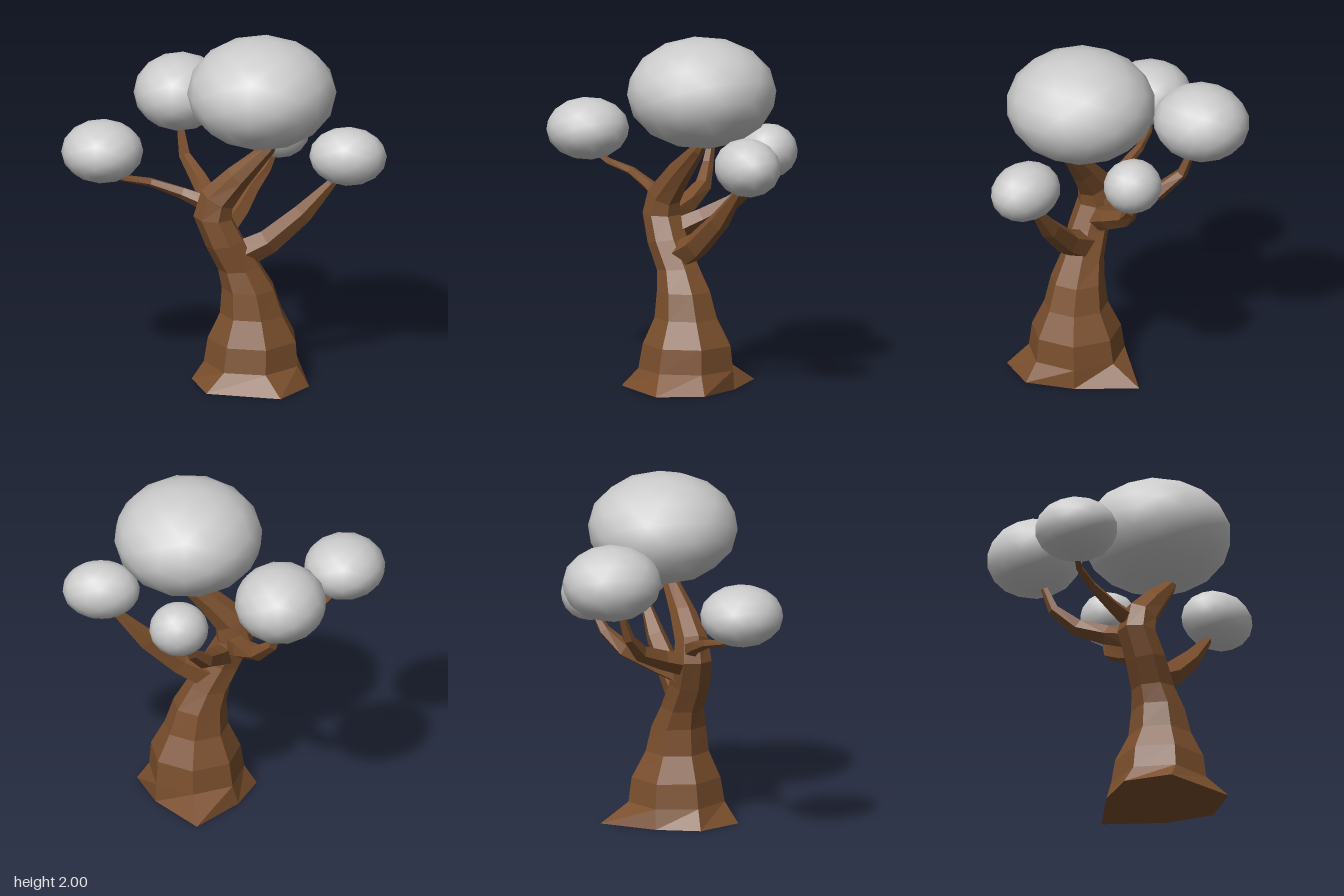
import * as THREE from 'three';

const bark = new THREE.MeshStandardMaterial({ color: 0x7b4f2d, flatShading: true });
const leaf = new THREE.MeshStandardMaterial({ color: 0xcccccc });
const UP = new THREE.Vector3(0, 1, 0);

// Skins a list of rings (arrays of Vector3, running from +x towards +z) and caps both ends
function skinRings(rings) {
  const n = rings[0].length;
  const points = rings.flat();
  const index = [];
  for (let i = 0; i < rings.length - 1; i++) {
    for (let j = 0; j < n; j++) {
      const a = i * n + j, b = i * n + (j + 1) % n;
      index.push(a, a + n, b, b, a + n, b + n);
    }
  }
  const top = (rings.length - 1) * n;
  for (let j = 1; j < n - 1; j++) {
    index.push(0, j, j + 1, top, top + j + 1, top + j);
  }
  const geometry = new THREE.BufferGeometry().setFromPoints(points);
  geometry.setIndex(index);
  geometry.computeVertexNormals();
  return geometry;
}

// One elliptical ring around a centre, facing along dir
function ring(center, rx, rz, dir, sides, phase) {
  const turn = new THREE.Quaternion().setFromUnitVectors(UP, dir);
  return Array.from({ length: sides }, (_, j) => {
    const a = phase + (j / sides) * Math.PI * 2;
    return new THREE.Vector3(rx * Math.cos(a), 0, rz * Math.sin(a)).applyQuaternion(turn).add(center);
  });
}

// Trunk: seven sides, flared root ring, bending into the main limb
function trunkGeometry() {
  const root = [[0.49, 0.26], [0.37, 0.51], [-0.06, 0.49], [-0.19, 0.24], [-0.1, 0], [0.12, -0.27], [0.37, 0]];
  // x, y, z, radius in x, radius in z, lean towards +x
  const sections = [
    [0.15, 0.11, 0.18, 0.277, 0.28, 0],
    [0.155, 0.25, 0.178, 0.26, 0.258, 0],
    [0.15, 0.4, 0.184, 0.185, 0.184, 0],
    [0.13, 0.55, 0.188, 0.154, 0.158, 0],
    [0.08, 0.67, 0.196, 0.125, 0.126, -0.1],
    [0, 0.82, 0.22, 0.112, 0.12, -0.2],
    [-0.07, 0.97, 0.22, 0.112, 0.112, 0.05],
    [-0.045, 1.08, 0.22, 0.105, 0.095, 0.5],
    [0.07, 1.21, 0.2, 0.078, 0.075, 0.75],
    [0.24, 1.38, 0.16, 0.04, 0.045, 0.7],
    [0.3, 1.47, 0.14, 0.02, 0.02, 0.6],
  ];
  const rings = sections.map(([x, y, z, rx, rz, lean]) =>
    ring(new THREE.Vector3(x, y, z), rx, rz,
      new THREE.Vector3(Math.sin(lean), Math.cos(lean), 0), 7, Math.PI / 14));
  return skinRings([root.map(([x, z]) => new THREE.Vector3(x, 0, z)), ...rings]);
}

// Branch: five-sided taper through points [x, y, z, radius]
function branchGeometry(path) {
  const p = path.map(([x, y, z]) => new THREE.Vector3(x, y, z));
  const rings = p.map((c, i) => {
    const dir = p[Math.min(i + 1, p.length - 1)].clone().sub(p[Math.max(i - 1, 0)]).normalize();
    return ring(c, path[i][3], path[i][3], dir, 5, 0.3);
  });
  return skinRings(rings);
}

const branches = {
  leftBranch: [[0.06, 0.73, 0.19, 0.09], [0.24, 0.825, 0.17, 0.075], [0.43, 0.99, 0.13, 0.06], [0.59, 1.17, 0.1, 0.028], [0.65, 1.26, 0.09, 0.012]],
  rightFrontBranch: [[-0.07, 1.03, 0.2, 0.055], [-0.25, 1.095, 0.2, 0.036], [-0.43, 1.155, 0.22, 0.026], [-0.58, 1.19, 0.28, 0.02], [-0.67, 1.25, 0.34, 0.012]],
  rightBackBranch: [[-0.07, 0.95, 0.18, 0.07], [-0.12, 1.0, 0.03, 0.06], [-0.21, 1.07, -0.12, 0.05], [-0.31, 1.18, -0.21, 0.034], [-0.35, 1.36, -0.27, 0.018]],
  backBranch: [[-0.02, 0.87, 0.19, 0.07], [0.04, 0.94, 0.03, 0.06], [0.08, 1.02, -0.14, 0.05], [0.15, 1.12, -0.24, 0.035], [0.21, 1.25, -0.3, 0.015]],
};

// Leaf clumps: centre, then radii
const clumps = {
  crownFoliage: [0.19, 1.69, 0.11, 0.415, 0.31, 0.42],
  rightFrontFoliage: [-0.683, 1.372, 0.36, 0.228, 0.173, 0.233],
  rightBackFoliage: [-0.357, 1.522, -0.318, 0.257, 0.213, 0.278],
  leftFoliage: [0.683, 1.332, 0.09, 0.217, 0.163, 0.175],
  backFoliage: [0.22, 1.325, -0.31, 0.166, 0.152, 0.16],
};

export function createModel() {
  const tree = new THREE.Group();
  tree.name = 'tree';
  const add = (name, geometry, material) => {
    const mesh = new THREE.Mesh(geometry, material);
    mesh.name = name;
    tree.add(mesh);
    return mesh;
  };

  add('trunk', trunkGeometry(), bark);
  for (const [name, path] of Object.entries(branches)) add(name, branchGeometry(path), bark);

  // Faceted ball, enlarged a little so its flats reach the full radii
  const ball = new THREE.IcosahedronGeometry(1 / 0.98, 2);
  for (const [name, [x, y, z, rx, ry, rz]] of Object.entries(clumps)) {
    const mesh = add(name, ball, leaf);
    mesh.position.set(x, y, z);
    mesh.scale.set(rx, ry, rz);
  }
  return tree;
}
